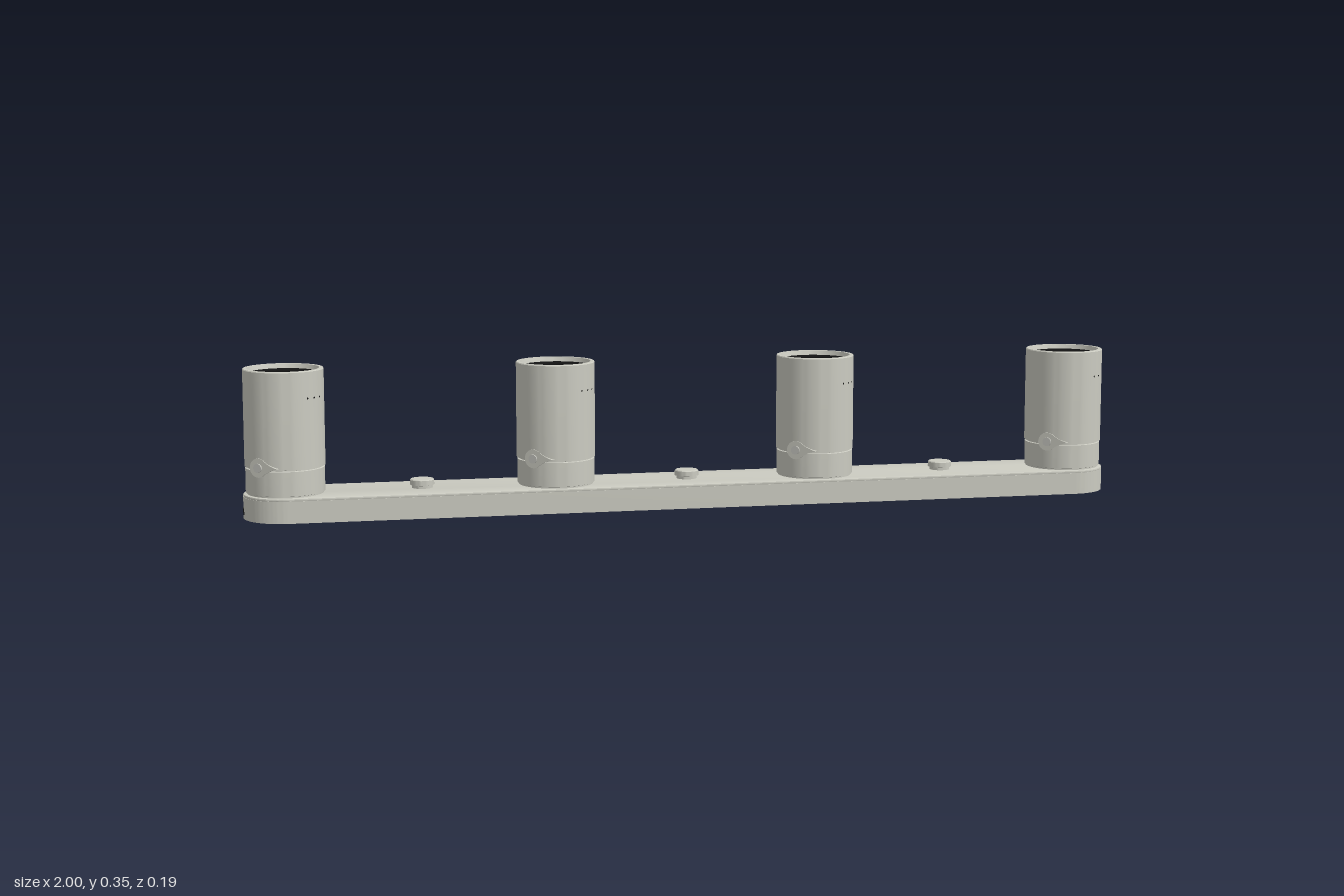
import * as THREE from 'three';
import { toCreasedNormals } from 'three/addons/utils/BufferGeometryUtils.js';

export function createModel() {
  const root = new THREE.Group();
  root.name = 'spotlightBar';
  const material = (name, color, side = THREE.FrontSide) => {
    const m = new THREE.MeshStandardMaterial({ color, side });
    m.name = name;
    return m;
  };
  const body = material('warmGreyPaint', 0xcbcbc1);
  const metal = material('paleMetal', 0xc4c4bd);
  const black = material('blackBaffle', 0x141414);

  const add = (parent, name, geometry, mat, x = 0, y = 0, z = 0) => {
    const m = new THREE.Mesh(geometry, mat);
    m.name = name;
    m.position.set(x, y, z);
    parent.add(m);
    return m;
  };
  const lathe = (points, segments = 64) => toCreasedNormals(
    new THREE.LatheGeometry(points.map(p => new THREE.Vector2(...p)), segments), 0.5);

  // Stadium outline with its round ends at x = +-(half - r)
  const stadium = (Type, half, r) => {
    const s = new Type();
    s.absarc(half - r, 0, r, -Math.PI / 2, Math.PI / 2, false);
    s.absarc(-half + r, 0, r, Math.PI / 2, Math.PI * 1.5, false);
    s.closePath();
    return s;
  };
  const slab = (shape, depth) => toCreasedNormals(
    new THREE.ExtrudeGeometry(shape, { depth, bevelEnabled: false, curveSegments: 32 })
      .rotateX(-Math.PI / 2), 0.5);

  // Hollow base, open underneath
  const wall = stadium(THREE.Shape, 1, 0.093);
  wall.holes.push(stadium(THREE.Path, 0.991, 0.084));
  add(root, 'baseWall', slab(wall, 0.049), body, 0, 0.018, 0);
  const roof = toCreasedNormals(new THREE.ExtrudeGeometry(stadium(THREE.Shape, 0.997, 0.09), {
    depth: 0.001, bevelThickness: 0.003, bevelSize: 0.003, bevelSegments: 2, curveSegments: 32,
  }).rotateX(-Math.PI / 2), 0.5);
  add(root, 'baseRoof', roof, body, 0, 0.069, 0);

  // Mounting rail and fixings inside the base
  add(root, 'mountingRail', new THREE.BoxGeometry(1.66, 0.006, 0.085), metal, 0, 0.059, 0);
  for (const z of [-0.045, 0.045]) {
    add(root, 'railFlange', new THREE.BoxGeometry(1.66, 0.014, 0.005), metal, 0, 0.055, z);
  }
  for (const x of [-0.75, -0.605, -0.45, -0.15, 0, 0.15, 0.45, 0.605, 0.75]) {
    add(root, 'railScrew', new THREE.CylinderGeometry(0.011, 0.011, 0.01, 16), metal, x, 0.052, 0);
  }
  add(root, 'terminalStrip', new THREE.BoxGeometry(0.22, 0.014, 0.02), black, 0, 0.045, -0.055);
  for (const side of [-1, 1]) {
    for (const z of [-0.035, 0, 0.035]) {
      add(root, 'cableClamp', new THREE.BoxGeometry(0.045, 0.016, 0.014), metal, side * 0.89, 0.054, z);
    }
  }

  // Hanging tabs by the back wall
  const tab = new THREE.Shape();
  tab.moveTo(-0.065, 0.05);
  for (const [x, y] of [[-0.065, 0.008], [-0.054, 0], [0.054, 0], [0.065, 0.008], [0.065, 0.05]]) {
    tab.lineTo(x, y);
  }
  const hole = new THREE.Path();
  hole.absellipse(0, 0.028, 0.02, 0.008, 0, Math.PI * 2, true);
  tab.holes.push(hole);
  const tabGeo = new THREE.ExtrudeGeometry(tab, { depth: 0.005, bevelEnabled: false });
  for (const x of [-0.302, 0.302]) {
    add(root, 'wallTab', tabGeo, metal, x, 0.001, -0.0735);
    add(root, 'tabArm', new THREE.BoxGeometry(0.13, 0.005, 0.03), metal, x, 0.0535, -0.058);
  }

  // Cover buttons
  const button = lathe([[0.023, 0], [0.023, 0.006], [0.027, 0.007], [0.027, 0.018], [0.025, 0.02], [0, 0.02]], 32);
  for (const x of [-0.605, 0, 0.605]) add(root, 'coverButton', button, body, x, 0.073, 0);

  // Cable knock-out outline on the end
  const arch = add(root, 'cableKnockout',
    new THREE.TorusGeometry(0.014, 0.0012, 6, 20, Math.PI), black, -0.9995, 0.028, 0);
  arch.rotation.y = Math.PI / 2;

  // Lamp parts, shared by all four lamps
  const collar = lathe([[0.084, 0], [0.084, 0.003], [0.087, 0.004], [0.087, 0.058], [0.083, 0.059], [0.083, 0.064]]);
  const tube = lathe([[0.083, 0.061], [0.0885, 0.062], [0.0885, 0.275], [0.087, 0.277],
    [0.079, 0.277], [0.076, 0.267]]);
  const baffle = lathe([[0.076, 0.267], [0.072, 0.262], [0.072, 0.228], [0.061, 0.224]]);
  const reflector = lathe([[0.061, 0.224], [0.054, 0.222], [0.05, 0.214], [0.046, 0.214],
    [0.044, 0.22], [0.03, 0.222], [0.028, 0.216], [0, 0.216]]);
  const drop = new THREE.Shape();
  drop.moveTo(0.036, 0);
  drop.quadraticCurveTo(0.012, 0.006, 0, 0.018);
  drop.absarc(-0.012, 0, 0.021, Math.PI / 3, Math.PI * 5 / 3, false);
  drop.quadraticCurveTo(0.012, -0.006, 0.036, 0);
  const dropGeo = toCreasedNormals(
    new THREE.ExtrudeGeometry(drop, { depth: 0.012, bevelEnabled: false, curveSegments: 16 }), 0.5);

  for (const x of [-0.907, -0.302, 0.302, 0.907]) {
    const lamp = new THREE.Group();
    lamp.name = 'lamp';
    lamp.position.set(x, 0.073, 0);
    root.add(lamp);
    add(lamp, 'swivelCollar', collar, body);
    add(lamp, 'lampTube', tube, body);
    add(lamp, 'blackBaffle', baffle, black);
    add(lamp, 'reflector', reflector, metal);

    // Teardrop swivel joint and its pin
    const joint = new THREE.Group();
    joint.name = 'swivelJoint';
    joint.rotation.y = -0.62;
    lamp.add(joint);
    add(joint, 'jointPlate', dropGeo, body, 0, 0.066, 0.078);
    const pin = add(joint, 'jointPin', new THREE.CylinderGeometry(0.01, 0.01, 0.006, 20), metal, -0.012, 0.066, 0.091);
    pin.rotation.x = Math.PI / 2;

    // Small pin holes near the top
    for (const base of [Math.PI / 4, Math.PI * 1.1]) {
      for (const step of [-0.22, 0, 0.22]) {
        const a = base + step;
        const dot = add(lamp, 'pinHole', new THREE.CircleGeometry(0.0022, 8), black,
          Math.sin(a) * 0.0888, 0.217, Math.cos(a) * 0.0888);
        dot.rotation.y = a;
      }
    }
  }
  return root;
}
